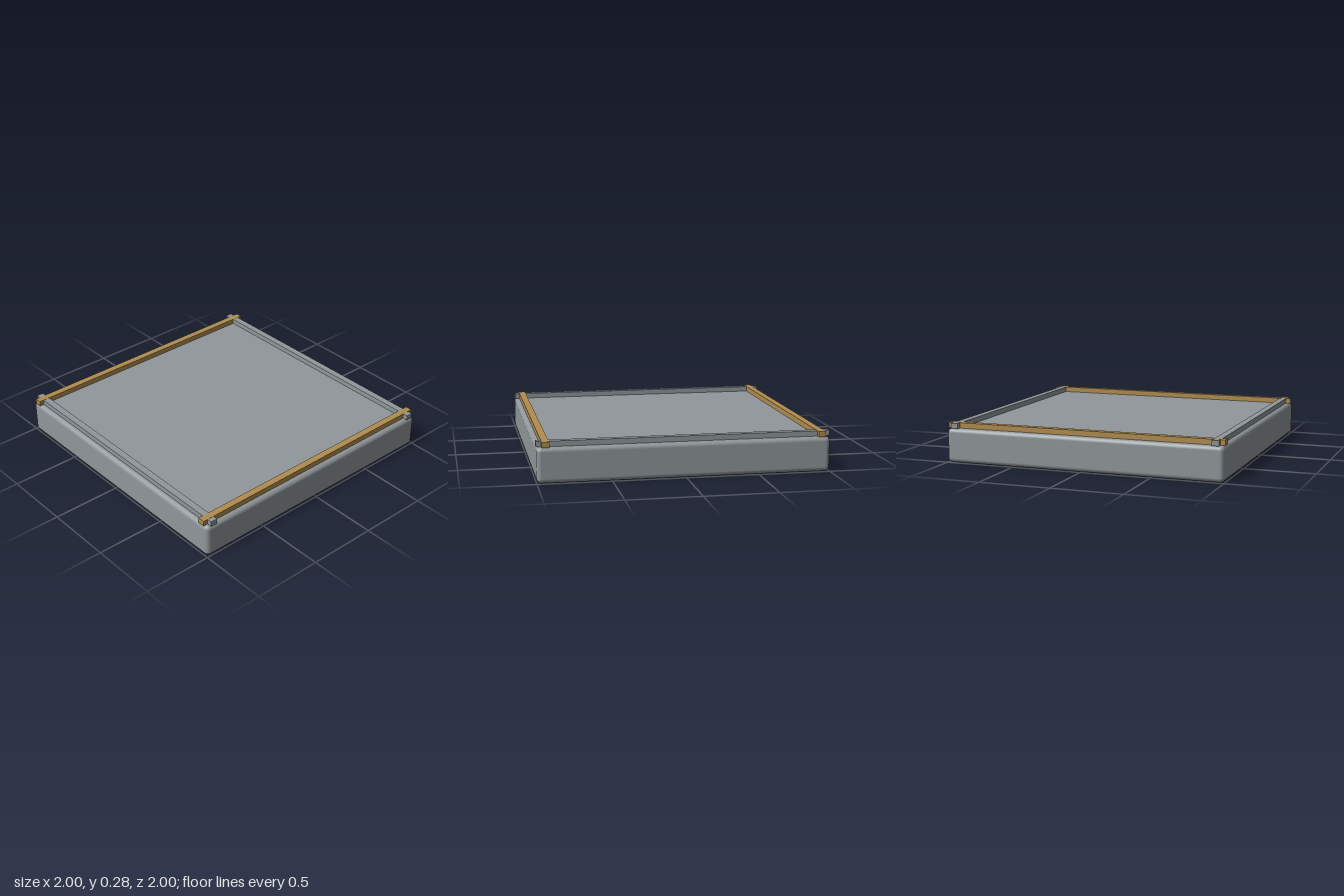
import * as THREE from 'three';
import { RoundedBoxGeometry } from 'three/addons/geometries/RoundedBoxGeometry.js';

export function createModel() {
  const model = new THREE.Group();
  model.name = 'railedSlab';

  const stone = new THREE.MeshStandardMaterial({ color: 0x90979a });
  stone.name = 'stoneGrey';
  const brass = new THREE.MeshStandardMaterial({ color: 0xb08d4f });
  brass.name = 'brass';

  const slabTop = 0.242, railWidth = 0.05, railHeight = 0.038, railOffset = 0.94;

  const add = (name, geometry, material, x, y, z) => {
    const mesh = new THREE.Mesh(geometry, material);
    mesh.name = name;
    mesh.position.set(x, y, z);
    model.add(mesh);
  };

  // Slab with softened edges
  add('slab', new RoundedBoxGeometry(2, slabTop, 2, 4, 0.032), stone, 0, slabTop / 2, 0);

  // Square rails that cross and overhang at the corners
  const railY = slabTop + railHeight / 2;
  for (const side of [-1, 1]) {
    const end = side > 0 ? 'Left' : 'Right';
    add('sideRail' + end, new THREE.BoxGeometry(railWidth, railHeight, 2), brass,
      side * railOffset, railY, 0);
    // Grey rails sit a hair lower so the brass stays on top at the crossings
    add(side > 0 ? 'frontRail' : 'backRail',
      new THREE.BoxGeometry(2, railHeight - 0.001, railWidth), stone,
      0, railY - 0.0005, side * railOffset);
  }
  return model;
}
